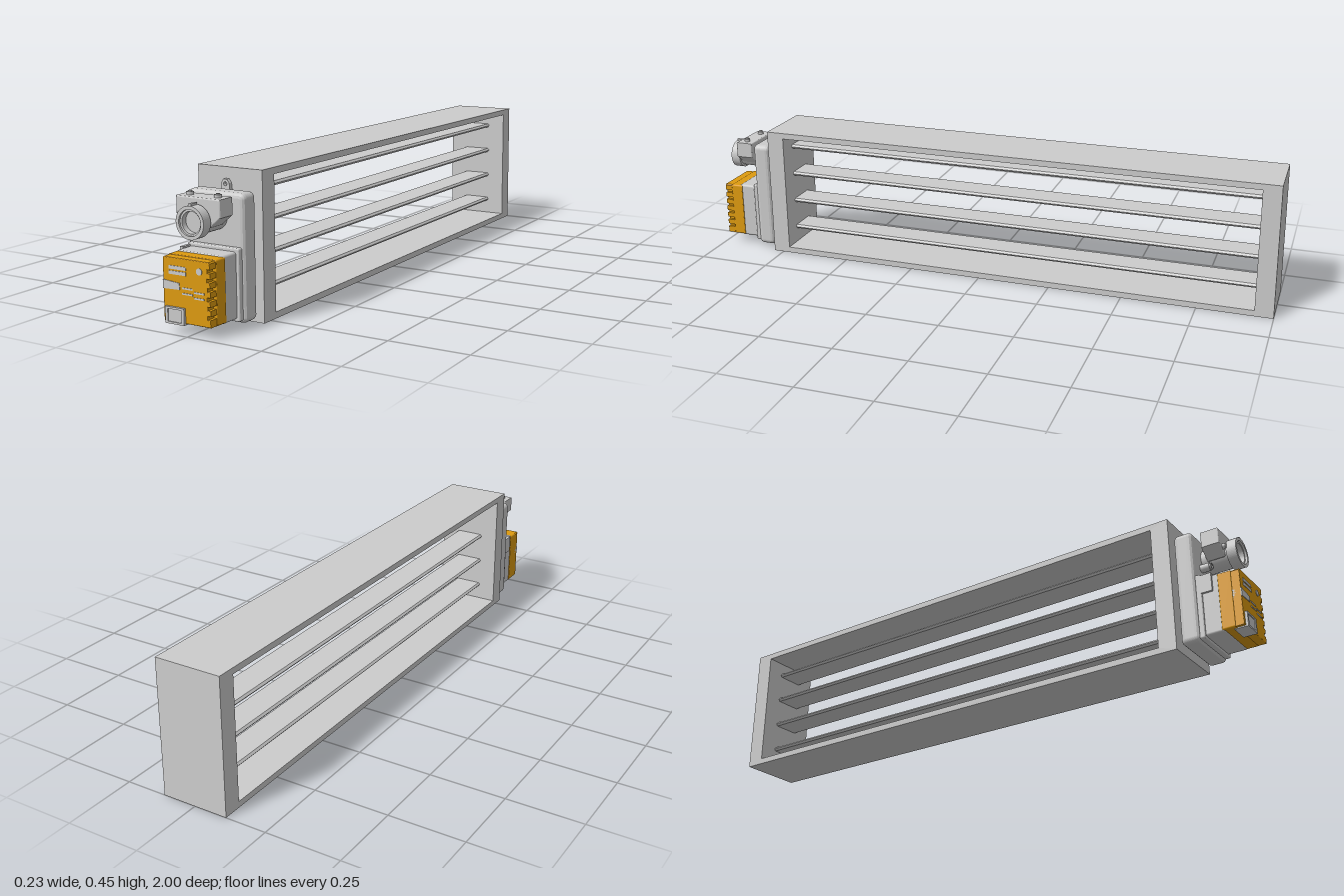
import * as THREE from 'three';

const grey = new THREE.MeshStandardMaterial({ color: 0xcccccc });
const orange = new THREE.MeshStandardMaterial({ color: 0xdd9a10 });

function add(parent, name, geometry, material = grey) {
  const mesh = new THREE.Mesh(geometry, material);
  mesh.name = name;
  parent.add(mesh);
  return mesh;
}

function polygon(points) {
  return new THREE.Shape(points.map(([x, y]) => new THREE.Vector2(x, y)));
}

function roundedRect(x0, x1, y0, y1, r) {
  const s = new THREE.Shape();
  s.absarc(x1 - r, y1 - r, r, 0, Math.PI / 2);
  s.absarc(x0 + r, y1 - r, r, Math.PI / 2, Math.PI);
  s.absarc(x0 + r, y0 + r, r, Math.PI, Math.PI * 1.5);
  s.absarc(x1 - r, y0 + r, r, Math.PI * 1.5, Math.PI * 2);
  s.closePath();
  return s;
}

// Extrude an outline between two depths, with the bevel kept inside it
function slab(shape, z0, z1, bevel = 0) {
  const g = new THREE.ExtrudeGeometry(shape, {
    depth: z1 - z0 - 2 * bevel, bevelEnabled: bevel > 0, bevelSize: bevel,
    bevelThickness: bevel, bevelOffset: -bevel, bevelSegments: 3, curveSegments: 8,
  });
  return g.translate(0, 0, z0 + bevel);
}

function block(x0, x1, y0, y1, z0, z1) {
  return new THREE.BoxGeometry(x1 - x0, y1 - y0, z1 - z0)
    .translate((x0 + x1) / 2, (y0 + y1) / 2, (z0 + z1) / 2);
}

function disc(x, y, r, z0, z1) {
  return new THREE.CylinderGeometry(r, r, z1 - z0, 32)
    .rotateX(Math.PI / 2).translate(x, y, (z0 + z1) / 2);
}

// Ring about the z axis
function ring(x, y, rIn, rOut, z0, z1) {
  const s = new THREE.Shape().absarc(0, 0, rOut, 0, Math.PI * 2);
  s.holes.push(new THREE.Path().absarc(0, 0, rIn, 0, Math.PI * 2, true));
  return new THREE.ExtrudeGeometry(s, { depth: z1 - z0, bevelEnabled: false, curveSegments: 32 })
    .translate(x, y, z0);
}

function buildDamper(root) {
  const damper = new THREE.Group();
  damper.name = 'damper';
  root.add(damper);

  // Open frame, drawn in profile and extruded across the width
  const outline = polygon([[-0.785, 0], [1, 0], [0.992, 0.45], [-0.785, 0.45]]);
  outline.holes.push(polygon([[-0.725, 0.02], [-0.725, 0.43], [0.932, 0.43], [0.938, 0.02]]));
  add(damper, 'frame', slab(outline, -0.113, 0.113).rotateY(Math.PI / 2));

  // Blades with tapered edges
  const section = polygon([[-0.052, 0], [-0.046, -0.007], [0.046, -0.007],
    [0.052, 0], [0.046, 0.007], [-0.046, 0.007]]);
  for (const y of [0.077, 0.179, 0.281, 0.383]) {
    add(damper, 'blade', slab(section, -0.936, 0.726)).position.y = y;
  }
}

function buildControls(root) {
  const actuator = new THREE.Group();
  actuator.name = 'actuator';
  root.add(actuator);

  // Main casing and its mountings on the frame
  add(actuator, 'casing', slab(roundedRect(-0.103, 0.098, 0.013, 0.39, 0.018), 0.795, 0.855, 0.014));
  add(actuator, 'shaft', disc(0, 0.32, 0.022, 0.78, 0.95));
  for (const y of [0.08, 0.2]) add(actuator, 'standoff', disc(0, y, 0.016, 0.78, 0.8));

  // Hanging lug behind the casing top
  const lug = polygon([[-0.026, 0.37], [0.01, 0.37], [0.006, 0.405], [-0.002, 0.416],
    [-0.014, 0.416], [-0.022, 0.405]]);
  lug.holes.push(new THREE.Path().absarc(-0.008, 0.402, 0.006, 0, Math.PI * 2, true));
  add(actuator, 'mountingLug', slab(lug, 0.785, 0.797));

  // Shaft clamp
  const clamp = new THREE.Group();
  clamp.name = 'shaftClamp';
  actuator.add(clamp);
  const bracket = polygon([[-0.078, 0.385], [-0.078, 0.333], [-0.038, 0.302],
    [0.038, 0.302], [0.075, 0.333], [0.075, 0.385]]);
  add(clamp, 'bracket', slab(bracket, 0.875, 0.935, 0.004));
  add(clamp, 'neck', disc(0, 0.32, 0.04, 0.85, 0.95));
  add(clamp, 'collar', ring(0, 0.32, 0.038, 0.048, 0.942, 0.975));
  add(clamp, 'innerCollar', ring(0, 0.32, 0.032, 0.039, 0.94, 0.968));
  add(clamp, 'pointer', block(-0.005, 0.005, 0.362, 0.374, 0.945, 0.972));
  for (const x of [-0.05, 0.047]) {
    add(clamp, 'boltHead', new THREE.CylinderGeometry(0.011, 0.011, 0.01, 6).translate(x, 0.389, 0.905));
    add(clamp, 'bolt', new THREE.CylinderGeometry(0.006, 0.006, 0.012, 16).translate(x, 0.391, 0.905));
  }
  add(clamp, 'releaseButton', disc(-0.041, 0.281, 0.013, 0.85, 0.885));
  add(clamp, 'releaseRing', ring(-0.041, 0.281, 0.006, 0.01, 0.885, 0.89));
  add(clamp, 'stopPin', disc(-0.049, 0.331, 0.009, 0.93, 0.945));

  // Lower housing
  add(actuator, 'housingBase', slab(roundedRect(-0.093, 0.088, 0.022, 0.236, 0.006), 0.845, 0.87, 0.004));
  add(actuator, 'housing', slab(roundedRect(-0.085, 0.078, 0.03, 0.226, 0.008), 0.86, 0.93, 0.004));
  add(actuator, 'sideLatch', block(-0.093, -0.082, 0.17, 0.23, 0.86, 0.905));

  buildCover(actuator);
}

function buildCover(parent) {
  const cover = new THREE.Group();
  cover.name = 'cover';
  parent.add(cover);
  add(cover, 'coverBack', slab(roundedRect(-0.087, 0.08, 0.033, 0.223, 0.006), 0.922, 0.965, 0.003), orange);

  // Front half with a row of notches along one edge
  const edge = [[-0.085, 0.035], [0.078, 0.035]];
  for (let i = 0; i < 6; i++) {
    const y = 0.057 + i * 0.0265;
    edge.push([0.078, y], [0.068, y], [0.068, y + 0.01], [0.078, y + 0.01]);
  }
  edge.push([0.078, 0.217], [0.074, 0.221], [-0.081, 0.221], [-0.085, 0.217]);
  add(cover, 'coverFront', slab(polygon(edge), 0.955, 0.992, 0.002), orange);

  // Raised markings: [x0, x1, y centre, height]
  for (const [x0, x1, y, h] of [
    [-0.064, -0.004, 0.193, 0.01], [-0.064, -0.004, 0.178, 0.01],
    [-0.018, 0.018, 0.137, 0.005], [-0.018, 0.018, 0.121, 0.005],
    [0.023, 0.058, 0.129, 0.005], [0.023, 0.058, 0.113, 0.005],
  ]) add(cover, 'slot', block(x0, x1, y - h / 2, y + h / 2, 0.985, 0.9935));
  add(cover, 'dial', disc(0.042, 0.191, 0.01, 0.985, 0.9935));
  const tag = polygon([[-0.085, 0.129], [-0.027, 0.131], [-0.027, 0.15], [-0.085, 0.155]]);
  add(cover, 'sideTag', slab(tag, 0.96, 0.994));

  // Framed window at the lower corner
  const rim = polygon([[-0.075, 0.031], [-0.009, 0.031], [-0.009, 0.08], [-0.075, 0.08]]);
  rim.holes.push(polygon([[-0.066, 0.037], [-0.066, 0.074], [-0.018, 0.074], [-0.018, 0.037]]));
  add(cover, 'windowRim', slab(rim, 0.955, 1.0));
  add(cover, 'windowPane', block(-0.066, -0.018, 0.037, 0.074, 0.955, 0.997));
}

export function createModel() {
  const root = new THREE.Group();
  root.name = 'motorisedDamper';
  buildDamper(root);
  buildControls(root);
  return root;
}
